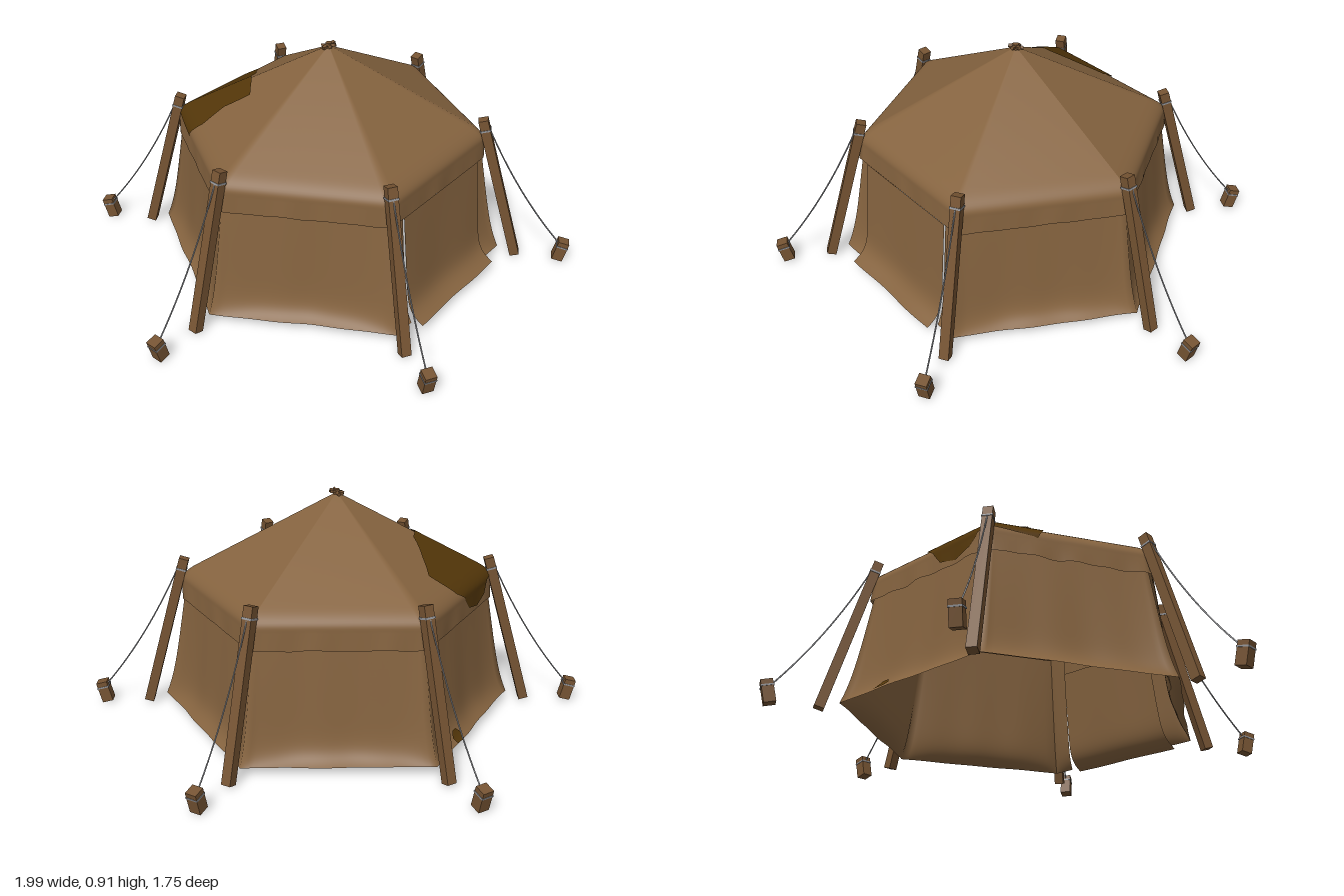
import * as THREE from 'three';
import { ParametricGeometry } from 'three/addons/geometries/ParametricGeometry.js';

const V = (x, y, z) => new THREE.Vector3(x, y, z);
const mat = (name, color, side = THREE.FrontSide) => {
  const m = new THREE.MeshStandardMaterial({ color, side });
  m.name = name;
  return m;
};

// Point on a hexagon: u counts corners from +x towards +z
function hex(u, r, y, target) {
  const k = Math.floor(u), f = u - k;
  const a = (k * Math.PI) / 3, b = ((k + 1) * Math.PI) / 3;
  return target.set(
    r * (Math.cos(a) * (1 - f) + Math.cos(b) * f), y,
    r * (Math.sin(a) * (1 - f) + Math.sin(b) * f));
}

// Roof: t 0..1 runs from apex to eave, 1..1.3 down the valance, with a rounded eave
function roofAt(u, t, target, lift = 0) {
  const wave = Math.sin(u * 17) + Math.sin(u * 29 + 1);
  let r, y;
  if (t <= 0.9) {
    r = 0.61 * t;
    y = 0.9 - 0.322 * t;
  } else if (t <= 1.1) {
    const s = (t - 0.9) / 0.2, a = (1 - s) ** 2, b = 2 * s * (1 - s), c = s * s;
    r = 0.549 * a + 0.621 * b + 0.618 * c;
    y = 0.610 * a + 0.574 * b + 0.540 * c;
  } else {
    const s = (t - 1.1) / 0.2;
    r = 0.618 + 0.006 * s + 0.002 * s * wave;
    y = 0.540 - 0.075 * s + 0.0025 * s * wave;
  }
  return hex(u, r + lift, y + (t < 1.1 ? lift : 0), target);
}

// Wall: w 0..1 runs from under the eave to the hem. Corners lean out evenly,
// the cloth between them hangs steeper and kicks out at the hem.
function wallAt(u, w, target, lift = 0) {
  const f = u - Math.floor(u);
  const middle = Math.sqrt(Math.max(0, Math.sin(f * Math.PI)));
  const corner = 0.597 + 0.09 * w + 0.023 * w ** 6;
  const hang = 0.597 + 0.055 * w + 0.056 * w ** 16;
  const folds = 0.004 * (Math.sin(u * 7 + 0.6) + 0.6 * Math.sin(u * 19 + 2)) * middle * w;
  return hex(u, corner + (hang - corner) * middle + folds + lift, 0.56 - 0.52 * w + lift, target);
}

const cloth = (fn, nu, nv) => {
  const g = new ParametricGeometry(fn, nu, nv);
  g.computeVertexNormals();
  return g;
};

// Rows crowd together towards the hem
const toHem = (v) => 1 - (1 - v) ** 2;

// Irregular stain: outline in surface coordinates, filled from its centre
function stain(surface, centre, outline) {
  const n = outline.length;
  return cloth((a, rho, target) => {
    const p = a * n, i = Math.floor(p) % n, f = p - Math.floor(p);
    const A = outline[i], B = outline[(i + 1) % n];
    const u = A[0] + (B[0] - A[0]) * f, t = A[1] + (B[1] - A[1]) * f;
    surface(centre[0] + (u - centre[0]) * rho, centre[1] + (t - centre[1]) * rho, target, 0.004);
  }, n * 6, 24);
}

export function createModel() {
  const canvas = mat('canvas', 0x85633f, THREE.DoubleSide);
  const dark = mat('dark stain', 0x533609, THREE.DoubleSide);
  const wood = mat('wood', 0x765433);
  const rope = mat('rope', 0x95969a);

  const tent = new THREE.Group();
  tent.name = 'hexagonalTent';
  const add = (name, geo, material, parent = tent) => {
    const m = new THREE.Mesh(geo, material);
    m.name = name;
    parent.add(m);
    return m;
  };
  // Square timber from a to b
  const beam = (name, a, b, size, material, parent) => {
    const m = add(name, new THREE.BoxGeometry(size, a.distanceTo(b), size), material, parent);
    m.position.copy(a).add(b).multiplyScalar(0.5);
    m.quaternion.setFromUnitVectors(V(0, 1, 0), b.clone().sub(a).normalize());
    return m;
  };

  // Canvas roof with valance
  add('roof', cloth((a, v, p) => roofAt(a * 6, 0.01 + v * 1.29, p), 144, 60), canvas);

  // Walls on five sides, narrow strips beside the doorway, and the door flap
  const wall = (name, from, to, n) =>
    add(name, cloth((a, v, p) => wallAt(from + (to - from) * a, toHem(v), p), n, 28), canvas);
  wall('walls', 2, 7, 160);
  wall('doorStripLeft', 1, 1.13, 8);
  wall('doorStripRight', 1.87, 2, 8);
  add('doorFlap', cloth((a, v, p) => {
    const w = toHem(v);
    const x = (a - 0.5) * (0.49 + 0.01 * w);
    const wave = 0.003 * Math.sin(a * 9 + 1) * w;
    p.set(x, 0.475 - 0.437 * w, 0.548 + 0.042 * w + 0.065 * w ** 14 + wave);
  }, 24, 28), canvas);

  // Stains on the back of the roof and at the back hem
  add('roofStain', stain(roofAt, [4.08, 0.86], [
    [4.53, 1.0], [4.62, 0.8], [4.45, 0.68], [4.18, 0.53], [4.0, 0.5], [3.87, 0.52],
    [3.64, 0.57], [3.7, 0.75], [3.65, 0.92], [3.7, 1.1], [3.85, 1.07], [4.0, 1.04],
    [4.08, 1.08], [4.14, 1.2], [4.25, 1.26], [4.38, 1.22], [4.45, 1.08]]), dark);
  add('hemStain', stain(wallAt, [4.7, 0.97], [
    [4.66, 1], [4.655, 0.96], [4.68, 0.93], [4.72, 0.93], [4.745, 0.965], [4.73, 1]]), dark);

  // One support per corner: leaning pole, lashing, guy rope and peg
  for (let i = 0; i < 6; i++) {
    const support = new THREE.Group();
    support.name = 'cornerSupport';
    support.rotation.y = (-i * Math.PI) / 3;
    tent.add(support);

    beam('pole', V(0.783, 0.012, 0), V(0.605, 0.632, 0), 0.038, wood, support);
    beam('poleLashing', V(0.6185, 0.585, 0), V(0.6165, 0.592, 0), 0.042, rope, support);
    beam('peg', V(0.955, 0.01, 0), V(0.976, 0.095, 0), 0.044, wood, support);
    beam('pegLashing', V(0.9695, 0.07, 0), V(0.971, 0.076, 0), 0.048, rope, support);
    const path = new THREE.QuadraticBezierCurve3(V(0.635, 0.588, 0), V(0.78, 0.285, 0), V(0.965, 0.073, 0));
    add('guyRope', new THREE.TubeGeometry(path, 16, 0.003, 6), rope, support);

    // Inner frame under the roof
    beam('rafter', V(0.03, 0.86, 0), V(0.57, 0.555, 0), 0.016, wood, support);
    beam('eaveBeam', V(0.57, 0.545, 0), hex(1, 0.57, 0.545, V(0, 0, 0)), 0.02, wood, support);
  }

  // Knot of crossed sticks at the peak
  for (let i = 0; i < 3; i++) {
    const a = (i * Math.PI) / 3 + 0.2;
    const x = 0.028 * Math.cos(a), z = 0.028 * Math.sin(a);
    beam('peakStick', V(-x, 0.895, -z), V(x, 0.906, z), 0.012, wood);
  }
  add('peakKnot', new THREE.CylinderGeometry(0.012, 0.016, 0.03, 8), wood).position.y = 0.897;

  return tent;
}
